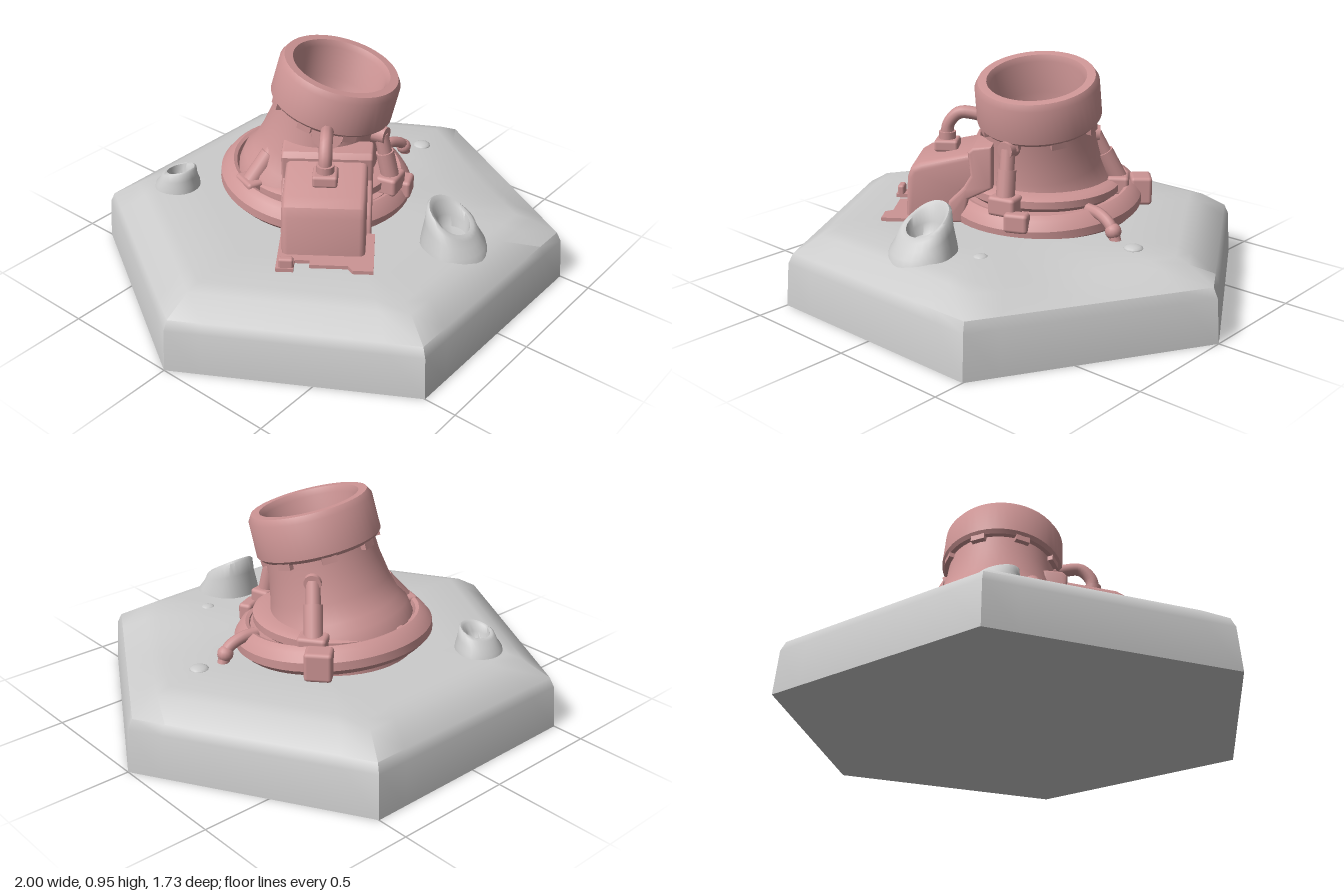
import * as THREE from 'three';
import { toCreasedNormals } from 'three/addons/utils/BufferGeometryUtils.js';
import { RoundedBoxGeometry } from 'three/addons/geometries/RoundedBoxGeometry.js';

const stone = new THREE.MeshStandardMaterial({ color: 0xcccccc });
const metal = new THREE.MeshStandardMaterial({ color: 0xcc9494 });
const UP = new THREE.Vector3(0, 1, 0);
const V = (x, y, z) => new THREE.Vector3(x, y, z);

function add(parent, name, geometry, material, x = 0, y = 0, z = 0) {
  const mesh = new THREE.Mesh(geometry, material);
  mesh.name = name;
  mesh.position.set(x, y, z);
  parent.add(mesh);
  return mesh;
}

function lathe(profile, segments = 48, phi = 0) {
  return new THREE.LatheGeometry(profile.map(([r, y]) => new THREE.Vector2(r, y)), segments, phi);
}

// Moves every vertex by a rule, then keeps only sharp edges creased
function reshape(geometry, rule, crease = 0.7) {
  const p = geometry.attributes.position;
  const v = new THREE.Vector3();
  for (let i = 0; i < p.count; i++) {
    rule(v.fromBufferAttribute(p, i));
    p.setXYZ(i, v.x, v.y, v.z);
  }
  return toCreasedNormals(geometry, crease);
}

const turned = (profile, segments) => reshape(lathe(profile, segments), () => {}, 0.6);

function tube(points, radius) {
  return new THREE.TubeGeometry(new THREE.CatmullRomCurve3(points), 20, radius, 10);
}

// Cylinder running between two points
function rod(parent, name, a, b, r1, r2 = r1) {
  const m = add(parent, name, new THREE.CylinderGeometry(r2, r1, a.distanceTo(b), 14), metal);
  m.position.copy(a).add(b).multiplyScalar(0.5);
  m.quaternion.setFromUnitVectors(UP, b.clone().sub(a).normalize());
}

// Side profile (outward, height) extruded across a width
function sideExtrude(points, width, bevel) {
  const g = new THREE.ExtrudeGeometry(new THREE.Shape(points.map(p => new THREE.Vector2(...p))), {
    depth: width - 2 * bevel, bevelThickness: bevel, bevelSize: bevel, bevelOffset: -bevel, bevelSegments: 3,
  });
  g.translate(0, 0, bevel - width / 2).rotateY(-Math.PI / 2);
  return toCreasedNormals(g, 0.6);
}

// Hexagonal slab with a worn shoulder
function hexGround() {
  const g = lathe([[0, 0], [1, 0], [0.985, 0.18], [0.965, 0.22], [0.85, 0.285], [0.79, 0.3],
    [0.55, 0.302], [0, 0.302]], 48, Math.PI / 2);
  return reshape(g, v => {
    const a = Math.atan2(v.z, v.x), s = Math.PI / 3;
    const k = Math.cos(s / 2) / Math.cos(((a + 2 * Math.PI) % s) - s / 2);
    const r = Math.hypot(v.x, v.z);
    v.x *= k;
    v.z *= k;
    if (r > 0.7 && v.y > 0.25) v.y -= 0.03 * Math.exp(-(((a - 0.6) / 0.4) ** 2));
  }, 0.6);
}

// Rock chimney whose mouth is cut at a slant
function rockVent(r, h, slant) {
  const g = lathe([[r * 1.08, -0.03], [r, 0.02], [r * 0.86, h * 0.55], [r * 0.78, h * 0.92], [r * 0.69, h],
    [r * 0.58, h * 0.95], [r * 0.5, h * 0.6], [r * 0.42, h * 0.32], [0, h * 0.25]], 28);
  return reshape(g, v => {
    const t = Math.max(0, v.y / h);
    v.y -= slant * v.z * t;
    v.z -= 0.02 * t;
    v.x *= 1 + 0.05 * Math.sin(v.z * 30);
  }, 1);
}

export function createModel() {
  const model = new THREE.Group();

  // Ground, vents and pebbles
  add(model, 'ground', hexGround(), stone);
  add(model, 'frontVent', rockVent(0.13, 0.125, 0.6), stone, 0.04, 0.3, 0.61);
  add(model, 'backVent', rockVent(0.095, 0.085, 0.25), stone, -0.335, 0.3, -0.58).rotation.y = Math.PI;
  for (const [x, z, r] of [[0.62, 0.04, 0.04], [0.24, 0.5, 0.03]])
    add(model, 'pebble', new THREE.SphereGeometry(r, 12, 8), stone, x, 0.297, z).scale.y = 0.4;

  // Tilted base ring on a plinth
  add(model, 'plinth', new THREE.CylinderGeometry(0.34, 0.35, 0.1, 48), metal, 0.04, 0.33, -0.1);
  const ring = add(model, 'baseRing', turned([[0.3, -0.06], [0.385, -0.06], [0.41, -0.035], [0.41, 0.0],
    [0.385, 0.035], [0.36, 0.05], [0.345, 0.045], [0.335, 0.015], [0.25, 0.015]], 56), metal, 0.04, 0.37, -0.105);
  ring.quaternion.setFromUnitVectors(UP, V(0.03, 1, 0.1).normalize());
  add(model, 'flange', turned([[0.3, -0.06], [0.325, -0.04], [0.325, -0.01], [0.3, 0.005], [0.2, 0.005]], 48),
    metal, 0.04, 0.44, -0.095);

  // Leaning barrel with a hollow muzzle
  const barrel = new THREE.Group();
  barrel.name = 'barrel';
  barrel.position.set(0.03, 0.42, -0.115);
  barrel.quaternion.setFromUnitVectors(UP, V(0.11, 1, 0.24).normalize());
  model.add(barrel);
  add(barrel, 'barrelBody', turned([[0.31, -0.06], [0.3, 0], [0.272, 0.04], [0.25, 0.12], [0.232, 0.22],
    [0.226, 0.3], [0.2, 0.32]]), metal);
  add(barrel, 'muzzle', turned([[0.2, 0.3], [0.245, 0.3], [0.258, 0.315], [0.255, 0.46], [0.24, 0.485],
    [0.205, 0.485], [0.192, 0.46], [0.185, 0.32], [0.15, 0.22], [0.08, 0.17], [0, 0.155]]), metal);
  for (let i = 0; i < 8; i++) {
    const a = (i + 0.3) * Math.PI / 4;
    add(barrel, 'muzzleTab', new THREE.BoxGeometry(0.06, 0.03, 0.025), metal,
      0.235 * Math.sin(a), 0.292, 0.235 * Math.cos(a)).rotation.y = a;
  }

  // Struts bracing the barrel against the ring
  const struts = [
    [V(0.12, 0.43, 0.23), V(0.1, 0.63, 0.19)],
    [V(0.3, 0.44, -0.28), V(0.23, 0.64, -0.2)],
    [V(-0.27, 0.43, -0.2), V(-0.13, 0.6, -0.15)],
  ];
  for (const [a, b] of struts) {
    const mid = a.clone().lerp(b, 0.6);
    rod(model, 'strutSleeve', a, mid, 0.038);
    rod(model, 'strutRod', mid, b, 0.03);
    const inner = V(0.06, b.y + 0.01, -0.06);
    rod(model, 'strutCap', b.clone().lerp(inner, 0.35), b.clone().lerp(inner, -0.1), 0.045, 0.035);
    add(model, 'strutFoot', new RoundedBoxGeometry(0.12, 0.08, 0.09, 2, 0.015), metal, a.x, a.y - 0.02, a.z)
      .rotation.y = Math.atan2(a.x - 0.04, a.z + 0.1);
  }

  // Clamps on the ring
  for (const [x, y, z, w, h, d] of [[0.35, 0.385, -0.37, 0.11, 0.12, 0.09], [-0.03, 0.42, -0.42, 0.05, 0.05, 0.09],
    [0.2, 0.36, 0.25, 0.1, 0.08, 0.06]])
    add(model, 'ringClamp', new RoundedBoxGeometry(w, h, d, 2, 0.015), metal, x, y, z)
      .rotation.y = Math.atan2(x - 0.04, z + 0.1);

  // Hooked arm gripping the ground
  add(model, 'hookArm', tube([V(0.36, 0.39, 0), V(0.43, 0.385, 0.01), V(0.49, 0.355, 0.02), V(0.52, 0.29, 0.02)], 0.024), metal);
  add(model, 'hookKnuckle', new THREE.SphereGeometry(0.033, 14, 10), metal, 0.505, 0.335, 0.02);

  // Side housing on its foot plate, turned towards the front right corner
  const housing = new THREE.Group();
  housing.name = 'housing';
  housing.rotation.y = -0.94;
  model.add(housing);
  add(housing, 'housingBody', sideExtrude([[0.24, 0.3], [0.465, 0.3], [0.455, 0.48], [0.44, 0.52], [0.4, 0.545],
    [0.12, 0.605], [0.12, 0.44], [0.22, 0.42]], 0.33, 0.025), metal);
  add(housing, 'housingSaddle', sideExtrude([[0.22, 0.3], [0.3, 0.3], [0.28, 0.39], [0.22, 0.45], [0.19, 0.5],
    [0.2, 0.6], [0.18, 0.62], [0.1, 0.63], [0.1, 0.45], [0.2, 0.4]], 0.37, 0.012), metal);
  const plate = new THREE.Shape([[-0.18, 0.3], [0.2, 0.3], [0.2, 0.56], [0.12, 0.56], [0.1, 0.53], [-0.05, 0.53],
    [-0.05, 0.5], [-0.11, 0.5], [-0.11, 0.56], [-0.18, 0.56]].map(([x, z]) => new THREE.Vector2(x, -z)));
  const plateGeometry = new THREE.ExtrudeGeometry(plate, { depth: 0.025, bevelEnabled: false });
  add(housing, 'footPlate', plateGeometry.rotateX(-Math.PI / 2), metal, 0, 0.292, 0);
  add(housing, 'plateLug', new RoundedBoxGeometry(0.06, 0.05, 0.03, 2, 0.01), metal, -0.14, 0.33, 0.54);

  // Hose from the housing into the barrel
  add(housing, 'hoseSocket', new RoundedBoxGeometry(0.1, 0.05, 0.1, 2, 0.012), metal, 0, 0.585, 0.31);
  rod(housing, 'hoseCollar', V(0, 0.59, 0.31), V(0, 0.64, 0.31), 0.036);
  add(housing, 'hose', tube([V(0, 0.6, 0.31), V(0, 0.67, 0.305), V(0, 0.72, 0.26), V(0, 0.72, 0.2), V(0, 0.69, 0.1)], 0.027), metal);
  rod(housing, 'hosePort', V(0, 0.67, 0.06), V(0, 0.69, 0.155), 0.085, 0.065);

  return model;
}
